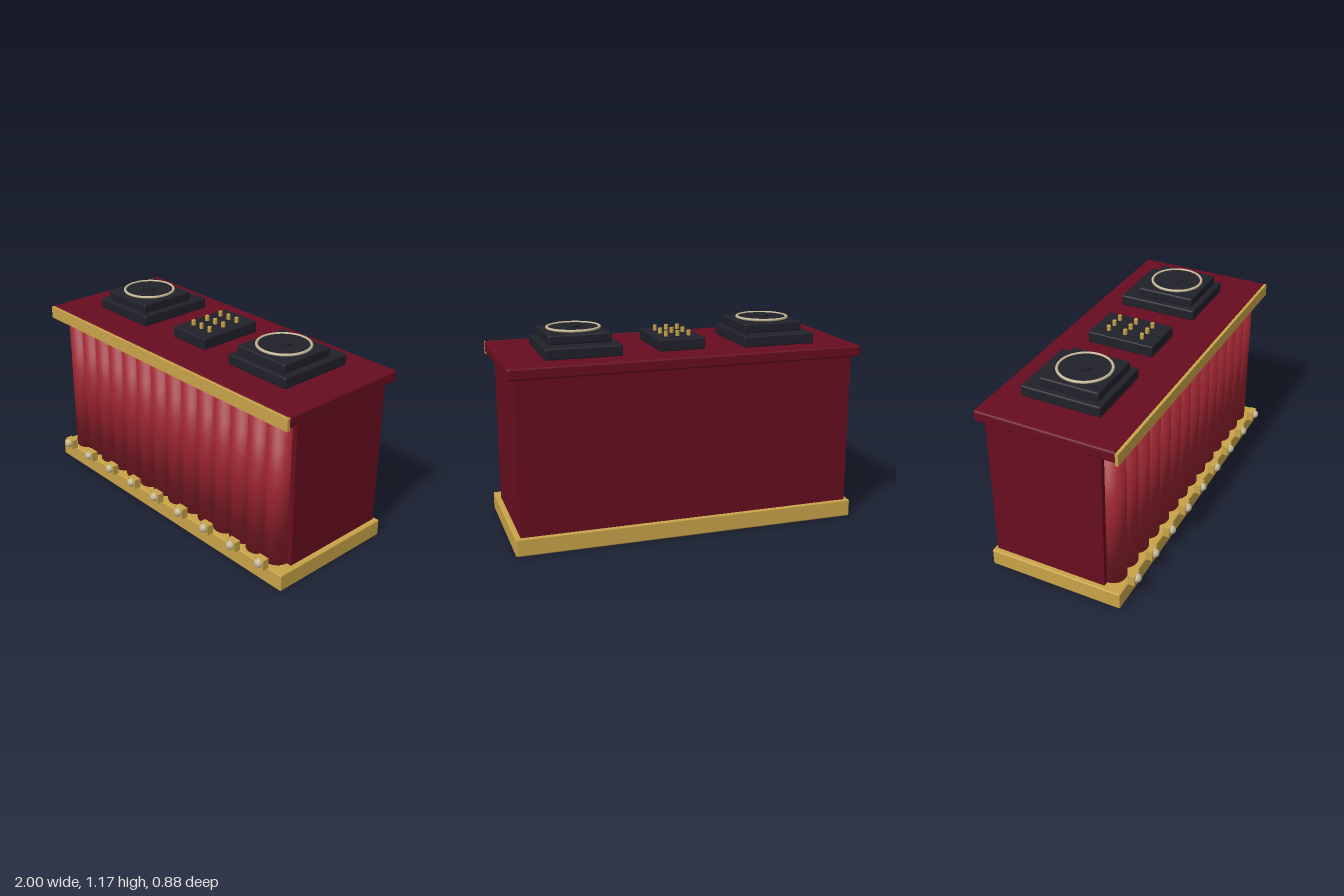
import * as THREE from 'three';
import { RoundedBoxGeometry } from 'three/addons/geometries/RoundedBoxGeometry.js';

const mat = (name, color) => {
  const m = new THREE.MeshStandardMaterial({ color });
  m.name = name;
  return m;
};

export function createModel() {
  const maroon = mat('maroon', 0x680d20);
  const crimson = mat('crimson', 0x9a2430);
  const gold = mat('gold', 0xc8a348);
  const charcoal = mat('charcoal', 0x20212a);
  const pearl = mat('pearl', 0xc4b796);
  const root = new THREE.Group();
  root.name = 'booth';

  const add = (parent, name, geometry, material, x = 0, y = 0, z = 0) => {
    const mesh = new THREE.Mesh(geometry, material);
    mesh.name = name;
    mesh.position.set(x, y, z);
    parent.add(mesh);
    return mesh;
  };
  // Box given by its limits on each axis, with softened edges if r > 0
  const box = (parent, name, material, [x0, x1], [y0, y1], [z0, z1], r = 0) => {
    const size = [x1 - x0, y1 - y0, z1 - z0];
    const g = r ? new RoundedBoxGeometry(...size, 2, r) : new THREE.BoxGeometry(...size);
    return add(parent, name, g, material, (x0 + x1) / 2, (y0 + y1) / 2, (z0 + z1) / 2);
  };

  // Cabinet
  box(root, 'base', gold, [-0.99, 0.99], [0, 0.1], [-0.42, 0.375], 0.008);
  box(root, 'body', maroon, [-0.96, 0.96], [0.09, 0.98], [-0.4, 0.27]);
  box(root, 'tableTop', maroon, [-1, 1], [0.965, 1.03], [-0.44, 0.37], 0.012);
  box(root, 'frontTrim', gold, [-1, 1], [0.955, 1.025], [0.367, 0.385]);

  // Curtain of round folds; normals flare softly towards both ends
  const foldGeo = new THREE.CylinderGeometry(0.075, 0.075, 0.83, 24, 6);
  const pos = foldGeo.attributes.position, nor = foldGeo.attributes.normal;
  const n = new THREE.Vector3();
  for (let i = 0; i < pos.count; i++) {
    if (Math.abs(nor.getY(i)) > 0.5) continue;
    n.set(nor.getX(i), pos.getY(i) / 0.415, nor.getZ(i)).normalize();
    nor.setXYZ(i, n.x, n.y, n.z);
  }
  const curtain = new THREE.Group();
  curtain.name = 'curtain';
  root.add(curtain);
  for (let i = 0; i < 14; i++) {
    add(curtain, 'curtainFold', foldGeo, crimson, -0.855 + i * 0.1315, 0.515, 0.27);
  }

  // Footlights along the front
  const bulbGeo = new THREE.SphereGeometry(0.026, 16, 12);
  for (let i = 0; i < 9; i++) {
    const x = (i - 4) * 0.2165;
    const light = new THREE.Group();
    light.name = 'footlight';
    root.add(light);
    box(light, 'lampHousing', gold, [x - 0.033, x + 0.033], [0.105, 0.165], [0.376, 0.416]);
    add(light, 'bulb', bulbGeo, pearl, x, 0.14, 0.416);
  }

  // Two record decks
  for (const side of [-1, 1]) {
    const x = side * 0.563, z = -0.033;
    const deck = new THREE.Group();
    deck.name = side > 0 ? 'leftDeck' : 'rightDeck';
    root.add(deck);
    box(deck, 'deckBase', charcoal, [x - 0.212, x + 0.212], [1.028, 1.092], [-0.297, 0.17], 0.01);
    box(deck, 'deckPlinth', charcoal, [x - 0.174, x + 0.174], [1.09, 1.145], [-0.205, 0.14], 0.01);
    add(deck, 'platter', new THREE.CylinderGeometry(0.145, 0.145, 0.02, 40), charcoal, x, 1.147, z);
    add(deck, 'platterRing', new THREE.TorusGeometry(0.145, 0.008, 8, 48), pearl, x, 1.156, z)
      .rotation.x = Math.PI / 2;
    add(deck, 'hub', new THREE.CylinderGeometry(0.04, 0.04, 0.02, 24), charcoal, x, 1.157, z);
  }

  // Mixer with a grid of knobs
  const mixer = new THREE.Group();
  mixer.name = 'mixer';
  root.add(mixer);
  box(mixer, 'mixerCase', charcoal, [-0.132, 0.132], [1.028, 1.095], [-0.257, 0.142], 0.008);
  const knobGeo = new THREE.CylinderGeometry(0.012, 0.012, 0.032, 8);
  for (const x of [-0.067, 0, 0.067]) {
    for (const z of [-0.16, -0.057, 0.046]) add(mixer, 'mixerKnob', knobGeo, gold, x, 1.109, z);
  }
  return root;
}
